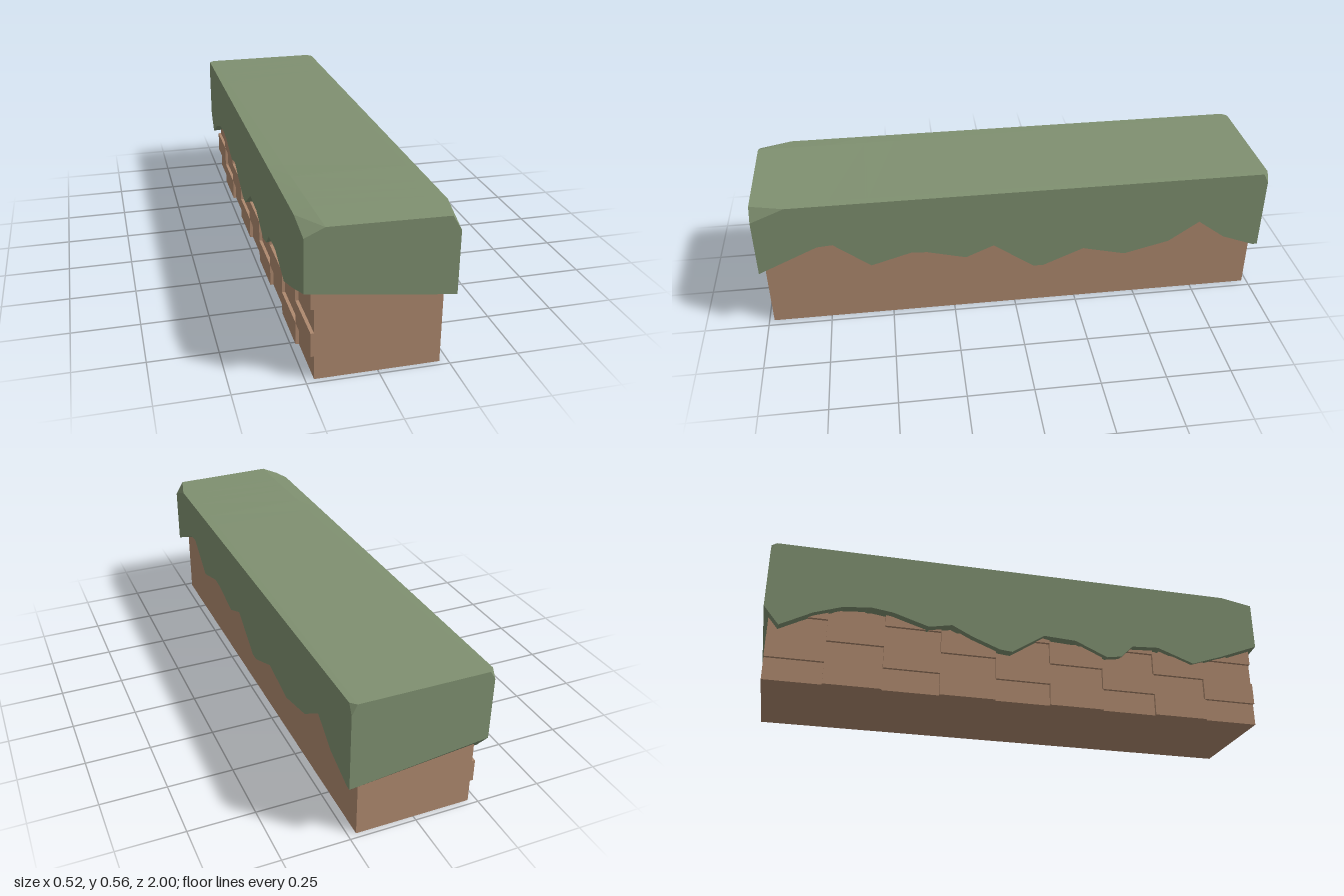
import * as THREE from 'three';

const brickMat = new THREE.MeshStandardMaterial({ color: 0xae896e });
const coverMat = new THREE.MeshStandardMaterial({ color: 0x7f9070 });

// Ragged lower edges of the cover as [z, y], front to back
const rightHem = [[1, .266], [.77, .37], [.71, .375], [.57, .265], [.41, .312], [.35, .307],
  [.2, .268], [.09, .315], [-.07, .2], [-.11, .2], [-.27, .267], [-.44, .225], [-.62, .27],
  [-.74, .352], [-.85, .27], [-.98, .22], [-1, .22]];
const leftHem = [[1, .337], [.84, .273], [.71, .227], [.56, .282], [.45, .275], [.4, .225],
  [.34, .215], [.21, .273], [.08, .28], [-.05, .195], [-.1, .2], [-.21, .243], [-.29, .283],
  [-.38, .265], [-.52, .309], [-.6, .32], [-.71, .31], [-.82, .272], [-.94, .207], [-1, .28]];

// Upper edges: chipped corners at both ends
const leftShoulder = [[1, .53], [.87, .553], [-.98, .553], [-1, .52]];
const rightShoulder = [[1, .5], [.87, .553], [-.98, .553], [-1, .515]];
const leftRidge = [[1, .562], [.45, .555], [-1, .553]];
const leftRidgeX = [[1, -.19], [-1, -.24]];
const rightRidgeX = [[1, .227], [-1, .24]];

// Linear lookup along z in a front-to-back list
function at(list, z) {
  for (let i = 1; i < list.length; i++) {
    const [z0, v0] = list[i - 1], [z1, v1] = list[i];
    if (z >= z1) return v0 + (v1 - v0) * (z0 - z) / (z0 - z1);
  }
  return list[list.length - 1][1];
}

// Cover lofted through cross-sections along z
function coverGeometry() {
  const all = [rightHem, leftHem, leftShoulder, leftRidge].flat().map(p => p[0]);
  const stations = [...new Set(all)].sort((a, b) => b - a);
  const rings = stations.map(z => [
    [-.26, at(leftHem, z), z],
    [-.26, at(leftShoulder, z), z],
    [at(leftRidgeX, z), at(leftRidge, z), z],
    [at(rightRidgeX, z), .554, z],
    [.26, at(rightShoulder, z), z],
    [.26, at(rightHem, z), z],
  ]);
  const pos = [];
  const tri = (...pts) => pts.forEach(p => pos.push(...p));
  const n = 6;
  for (let i = 0; i + 1 < rings.length; i++) {
    for (let j = 0; j < n; j++) {
      const k = (j + 1) % n;
      const a = rings[i][j], b = rings[i][k], c = rings[i + 1][k], d = rings[i + 1][j];
      // diagonal direction keeps the corner chips triangular
      if ((j < 3) === (stations[i] < 0)) { tri(a, b, c); tri(a, c, d); }
      else { tri(a, b, d); tri(b, c, d); }
    }
  }
  // End faces
  const first = rings[0], last = rings[rings.length - 1];
  for (let k = 1; k < n - 1; k++) {
    tri(first[0], first[k + 1], first[k]);
    tri(last[0], last[k], last[k + 1]);
  }
  const g = new THREE.BufferGeometry();
  g.setAttribute('position', new THREE.Float32BufferAttribute(pos, 3));
  g.computeVertexNormals();
  return g;
}

function box(name, w, h, d, x, y, z) {
  const m = new THREE.Mesh(new THREE.BoxGeometry(w, h, d), brickMat);
  m.name = name;
  m.position.set(x, y, z);
  return m;
}

export function createModel() {
  const model = new THREE.Group();
  model.name = 'overgrownWall';

  // Wall core
  model.add(box('wallCore', .44, .45, 1.96, 0, .225, 0));

  // Raised bricks in a checkerboard on one side
  const bricks = new THREE.Group();
  bricks.name = 'raisedBricks';
  const len = 1.96 / 9, h = .088;
  for (let row = 0; row < 4; row++) {
    for (let col = 0; col < 9; col++) {
      if ((row + col) % 2 === 0) continue;
      bricks.add(box('brick', .022, h, len, -.221, h * (row + .5), -.98 + len * (col + .5)));
    }
  }
  model.add(bricks);

  // Ragged cover draped on top
  const cover = new THREE.Mesh(coverGeometry(), coverMat);
  cover.name = 'cover';
  model.add(cover);
  return model;
}
